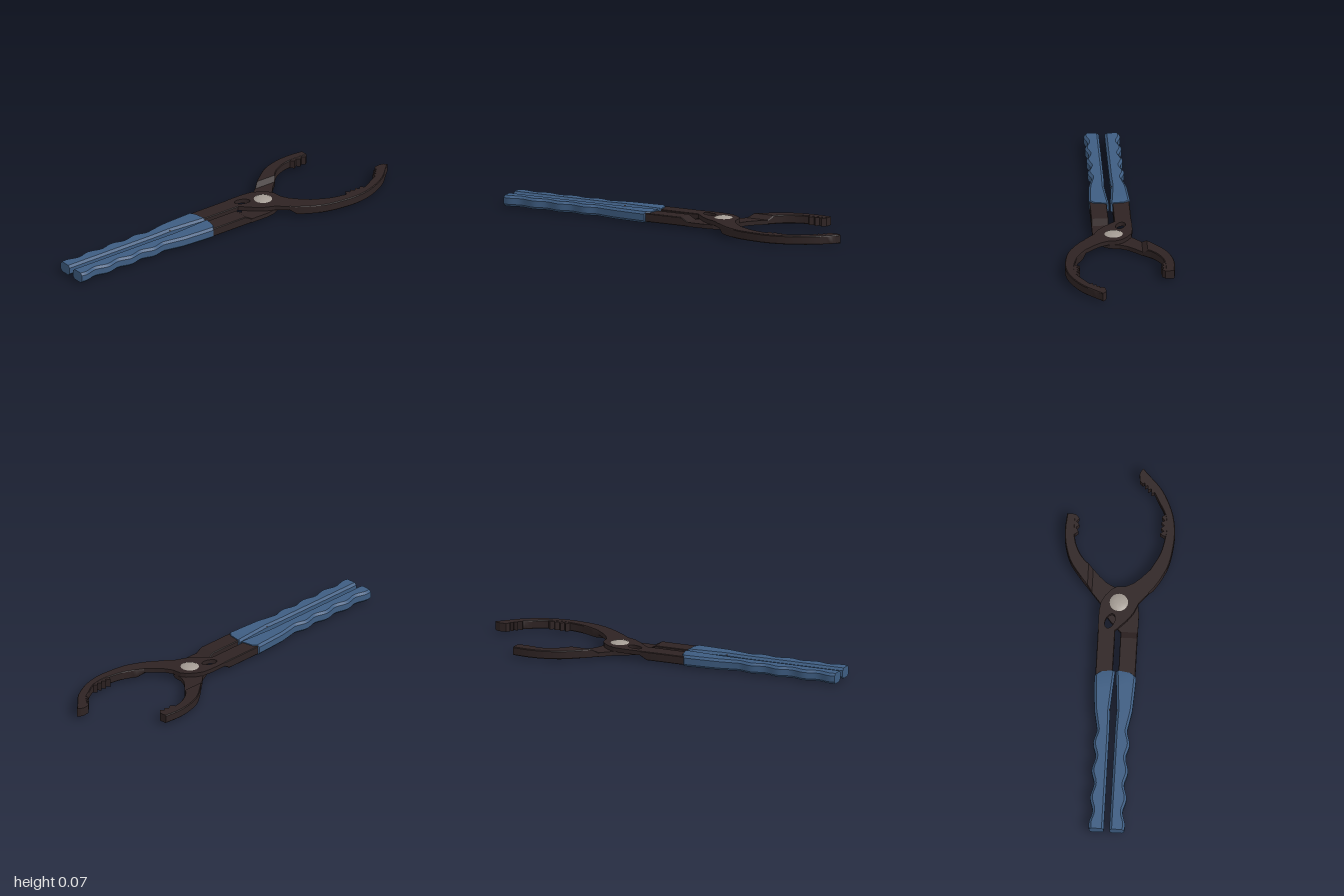
import * as THREE from 'three';
import { toCreasedNormals } from 'three/addons/utils/BufferGeometryUtils.js';

const LO = 0.013, HI = 0.058, MID = 0.0355; // steel thickness and lap-joint plane
const AXIS = 0.0165;                        // z of the line between the two arms

const steel = new THREE.MeshStandardMaterial({ color: 0x2e2323 });
steel.name = 'dark steel';
const grip = new THREE.MeshStandardMaterial({ color: 0x3e5d82 });
grip.name = 'blue grip';
const rivetMetal = new THREE.MeshStandardMaterial({ color: 0xa39b93 });
rivetMetal.name = 'rivet metal';

function part(name, geometry, material) {
  const mesh = new THREE.Mesh(geometry, material);
  mesh.name = name;
  return mesh;
}

// Bevelled bar through stations [x0, z0, x1, z1, low, high]; point 0 is on the +z side
function bar(stations, bevel) {
  const pos = [], index = [], n = 8;
  for (const [x0, z0, x1, z1, lo, hi] of stations) {
    const k = bevel / Math.hypot(x1 - x0, z1 - z0);
    const add = (t, y) => pos.push(x0 + (x1 - x0) * t, y, z0 + (z1 - z0) * t);
    add(k, lo); add(1 - k, lo); add(1, lo + bevel); add(1, hi - bevel);
    add(1 - k, hi); add(k, hi); add(0, hi - bevel); add(0, lo + bevel);
  }
  const last = (stations.length - 1) * n;
  for (let i = 0; i < last; i += n) {
    for (let j = 0; j < n; j++) {
      const a = i + j, b = i + (j + 1) % n;
      index.push(a, b, b + n, a, b + n, a + n);
    }
  }
  for (let j = 1; j < n - 1; j++) {
    index.push(0, j + 1, j, last, last + j, last + j + 1);
  }
  const g = new THREE.BufferGeometry();
  g.setAttribute('position', new THREE.Float32BufferAttribute(pos, 3));
  g.setIndex(index);
  return toCreasedNormals(g, 0.5);
}

// Flat plate from [x, z] outline points between two heights
function plate(points, lo, hi, hole) {
  const shape = new THREE.Shape(points.map(([x, z]) => new THREE.Vector2(x, -z)));
  if (hole) shape.holes.push(hole);
  const g = new THREE.ExtrudeGeometry(shape, { depth: hi - lo, bevelEnabled: false, curveSegments: 16 });
  g.rotateX(-Math.PI / 2);
  g.translate(0, lo, 0);
  return g;
}

// Smooth the two edges of a jaw, keeping its ramped first station
function jawBar(ramp, edges, steps) {
  const side = (k) => new THREE.CatmullRomCurve3(
    edges.map((e) => new THREE.Vector3(e[k], 0, e[k + 1])), false, 'catmullrom');
  const a = side(0), b = side(2), stations = [ramp];
  for (let i = 0; i <= steps; i++) {
    const p = a.getPoint(i / steps), q = b.getPoint(i / steps);
    stations.push([p.x, p.z, q.x, q.z, LO, HI]);
  }
  return bar(stations, 0.004);
}

// Station across one arm from distances to the axis; s is +1 for the front arm, -1 for the rear
function across(s, xIn, dIn, xOut, dOut, lo, hi) {
  const inner = [xIn, AXIS + s * dIn], outer = [xOut, AXIS + s * dOut];
  return s > 0 ? [...outer, ...inner, lo, hi] : [...inner, ...outer, lo, hi];
}

function handle(s) {
  const stations = [];
  // finger waves
  for (let x = -1; x < -0.44; x += 0.0125) {
    const d = 0.0865 + 0.008 * Math.cos((x + 0.975) / 0.15 * Math.PI * 2);
    stations.push(across(s, x, 0.0145, x, d, 0.007, 0.064));
  }
  // flared front collar
  stations.push(across(s, -0.34, 0.017, -0.34, 0.099, 0.006, 0.065));
  stations.push(across(s, -0.22, 0.009, -0.24, 0.105, 0.006, 0.065));
  stations.push(across(s, -0.125, 0.002, -0.155, 0.109, 0.006, 0.065));
  stations.push(across(s, -0.122, 0.004, -0.135, 0.088, 0.008, 0.063));
  return bar(stations, 0.012);
}

// Lap-joint outline as [x, distance from axis toward the handle side]
const jointOutline = [
  [0.1, 0.104], [0.2, 0.104], [0.25, 0.097], [0.29, 0.076], [0.325, 0.045], [0.34, 0.02],
  [0.345, -0.03], [0.365, -0.07], [0.4, -0.11], [0.44, -0.1465], [0.31, -0.1465],
  [0.255, -0.1], [0.2, -0.075], [0.16, -0.045], [0.12, -0.005], [0.1, 0.014],
];

function slot() {
  const path = new THREE.Path();
  path.absellipse(0.15, 0.028, 0.042, 0.024, 0, Math.PI * 2, false, -0.35);
  return path;
}

function arm(name, s) {
  const group = new THREE.Group();
  group.name = name;
  const lo = s > 0 ? LO : MID, hi = s > 0 ? MID : HI;
  group.add(part('grip', handle(s), grip));
  group.add(part('shank', bar([
    across(s, -0.4, 0.02, -0.4, 0.08, LO, HI),
    across(s, -0.16, 0.015, -0.16, 0.104, LO, HI),
    across(s, 0.06, 0.014, 0.06, 0.104, LO, HI),
    across(s, 0.1, 0.014, 0.1, 0.104, lo, hi),
  ], 0.003), steel));
  const outline = jointOutline.map(([x, d]) => [x, AXIS + s * d]);
  group.add(part('lapJoint', plate(outline, lo, hi, s < 0 ? slot() : null), steel));
  return group;
}

export function createModel() {
  const model = new THREE.Group();
  model.name = 'filterPliers';

  // Rear handle, carrying the long front jaw
  const longArm = arm('longArm', -1);
  longArm.add(part('longJaw', jawBar([0.31, 0.163, 0.44, 0.163, MID, HI], [
    [0.34, 0.188, 0.475, 0.183], [0.4, 0.226, 0.515, 0.204], [0.48, 0.262, 0.555, 0.219],
    [0.59, 0.281, 0.615, 0.231], [0.68, 0.282, 0.68, 0.237], [0.778, 0.26, 0.75, 0.227],
    [0.885, 0.206, 0.825, 0.188], [0.958, 0.14, 0.885, 0.154], [0.998, 0.102, 0.935, 0.09],
  ], 32), steel));
  longArm.add(part('longJawTip', plate([
    [0.998, 0.102], [0.985, 0.089], [0.965, 0.083], [0.93, 0.086], [0.915, 0.102], [0.922, 0.114],
    [0.9, 0.113], [0.908, 0.13], [0.882, 0.131], [0.89, 0.147], [0.866, 0.15], [0.87, 0.17], [0.93, 0.15],
  ], LO, HI), steel));
  longArm.add(part('longJawTeeth', plate([
    [0.63, 0.25], [0.634, 0.225], [0.645, 0.206], [0.66, 0.226], [0.676, 0.209], [0.69, 0.226],
    [0.708, 0.209], [0.718, 0.228], [0.737, 0.21], [0.755, 0.232], [0.74, 0.25],
  ], LO + 0.001, HI - 0.001), steel));
  model.add(longArm);

  // Front handle, carrying the short rear jaw
  const shortArm = arm('shortArm', 1);
  shortArm.add(part('shortJaw', jawBar([0.44, -0.13, 0.31, -0.13, LO, MID], [
    [0.462, -0.155, 0.34, -0.155], [0.482, -0.178, 0.38, -0.188], [0.52, -0.205, 0.466, -0.249],
    [0.575, -0.228, 0.56, -0.28], [0.64, -0.237, 0.645, -0.288], [0.73, -0.236, 0.73, -0.281],
  ], 24), steel));
  shortArm.add(part('shortJawTeeth', plate([
    [0.61, -0.25], [0.62, -0.235], [0.635, -0.217], [0.657, -0.231], [0.672, -0.214],
    [0.69, -0.23], [0.708, -0.216], [0.729, -0.235], [0.725, -0.25],
  ], LO + 0.001, HI - 0.001), steel));
  model.add(shortArm);

  // Domed pivot rivet
  const profile = [[0, 0], [0.022, 0.0015], [0.04, 0.006], [0.048, 0.012],
    [0.048, 0.058], [0.04, 0.063], [0.022, 0.0675], [0, 0.069]];
  const rivet = part('pivotRivet', toCreasedNormals(new THREE.LatheGeometry(
    profile.map(([r, y]) => new THREE.Vector2(r, y)), 20), 0.6), rivetMetal);
  rivet.position.set(0.254, 0, 0.013);
  model.add(rivet);
  return model;
}
